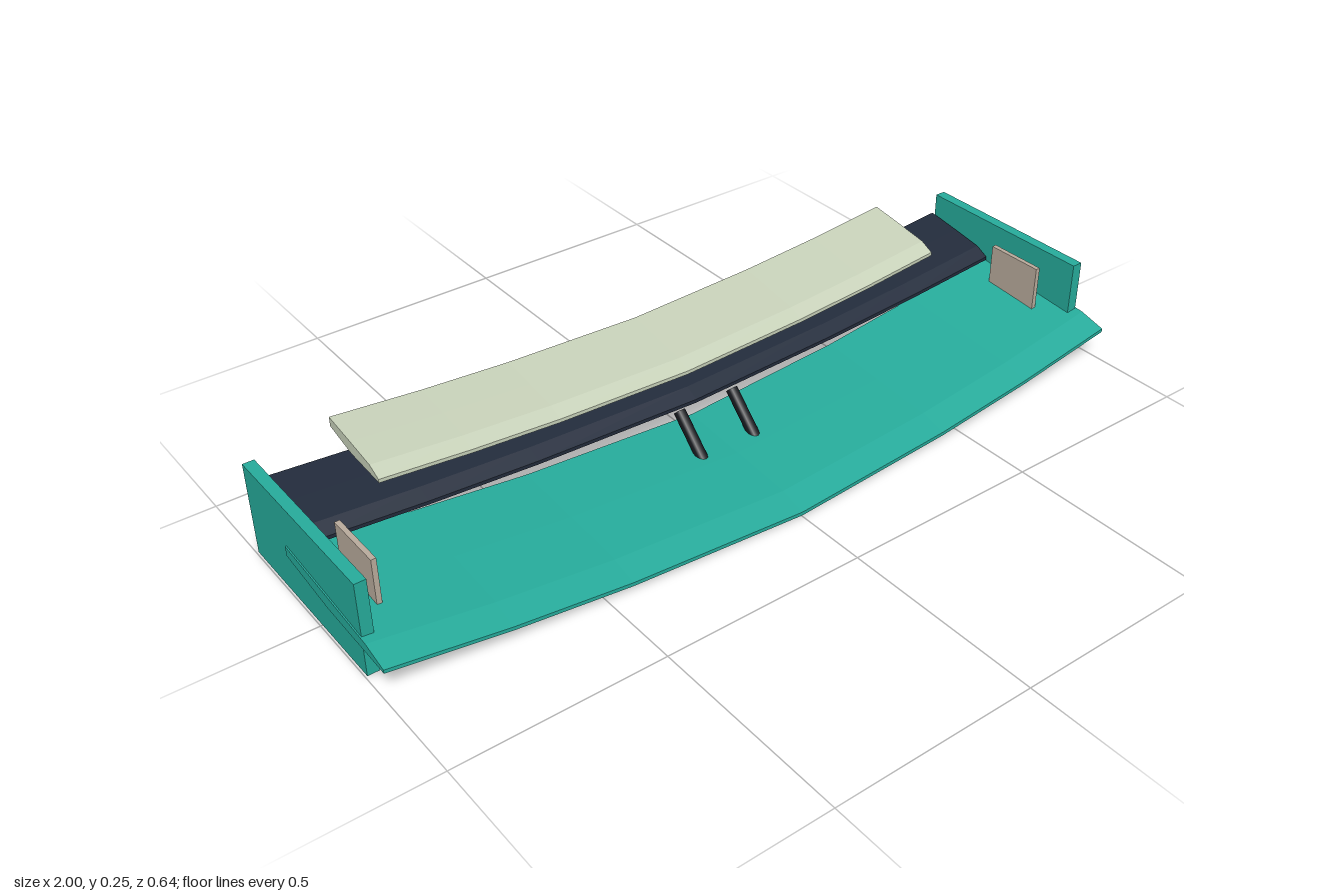
import * as THREE from 'three';

const mat = (name, color) => {
  const m = new THREE.MeshStandardMaterial({ color });
  m.name = name;
  return m;
};

// Shared aerofoil section: [fraction of chord from the leading edge, height]
const SECTION = [
  [0, 0], [0, 0.009], [0.17, 0.026], [0.57, 0.039],
  [1, 0.052], [1, 0.028], [0.57, 0.007],
];
// Span stations as fractions of the half span
const STATIONS = [-1, -0.72, -0.44, 0, 0.44, 0.72, 1];

// Wing element lofted along x: tips rise by a parabola and sweep back linearly
function wingGeometry({ half, front, chord, base, rise, sweep }) {
  const rings = STATIONS.map((s) => SECTION.map(([f, h]) => [
    s * half,
    base + h + rise * s * s,
    front - sweep * Math.abs(s) - f * chord,
  ]));
  const n = SECTION.length;
  const pos = [];
  const tri = (a, b, c) => pos.push(...a, ...b, ...c);
  for (let i = 0; i < rings.length - 1; i++) {
    for (let j = 0; j < n; j++) {
      const k = (j + 1) % n;
      const a = rings[i][j], b = rings[i + 1][j], c = rings[i + 1][k], d = rings[i][k];
      tri(a, b, c);
      tri(a, c, d);
    }
  }
  // Closed tips
  const first = rings[0], last = rings[rings.length - 1];
  for (let j = 1; j < n - 1; j++) {
    tri(first[0], first[j], first[j + 1]);
    tri(last[0], last[j + 1], last[j]);
  }
  const g = new THREE.BufferGeometry();
  g.setAttribute('position', new THREE.Float32BufferAttribute(pos, 3));
  g.computeVertexNormals();
  return g;
}

export function createModel() {
  const group = new THREE.Group();
  const teal = mat('teal', 0x26ab9b);
  const navy = mat('navy', 0x222b3b);
  const pale = mat('paleSage', 0xc6d0b8);
  const beige = mat('beige', 0xb9ab9c);
  const black = mat('black', 0x14171c);

  const add = (name, geometry, material) => {
    const mesh = new THREE.Mesh(geometry, material);
    mesh.name = name;
    group.add(mesh);
    return mesh;
  };

  // Three stacked wing elements
  add('mainPlane', wingGeometry({ half: 1, front: 0.32, chord: 0.4, base: 0.002, rise: 0.074, sweep: 0.04 }), teal);
  add('middleFlap', wingGeometry({ half: 0.96, front: -0.063, chord: 0.204, base: 0.095, rise: 0.036, sweep: 0.024 }), navy);
  add('upperFlap', wingGeometry({ half: 0.783, front: -0.094, chord: 0.208, base: 0.157, rise: 0.036, sweep: 0.018 }), pale);

  // Mirrored side parts
  for (const [side, s] of [['left', 1], ['right', -1]]) {
    add(side + 'Endplate', new THREE.BoxGeometry(0.027, 0.231, 0.482), teal)
      .position.set(s * 0.983, 0.1175, -0.05);

    add(side + 'Fence', new THREE.BoxGeometry(0.012, 0.125, 0.15), beige)
      .position.set(s * 0.92, 0.149, 0.047);

    // Slanted pylon leaning back from the main plane to the flap
    const low = new THREE.Vector3(s * 0.075, 0.009, 0.088);
    const high = new THREE.Vector3(s * 0.075, 0.122, -0.027);
    const axis = high.clone().sub(low);
    const pylon = add(side + 'Pylon', new THREE.CylinderGeometry(0.014, 0.014, axis.length(), 12), black);
    pylon.position.copy(low).add(high).multiplyScalar(0.5);
    pylon.quaternion.setFromUnitVectors(new THREE.Vector3(0, 1, 0), axis.normalize());
  }
  return group;
}
